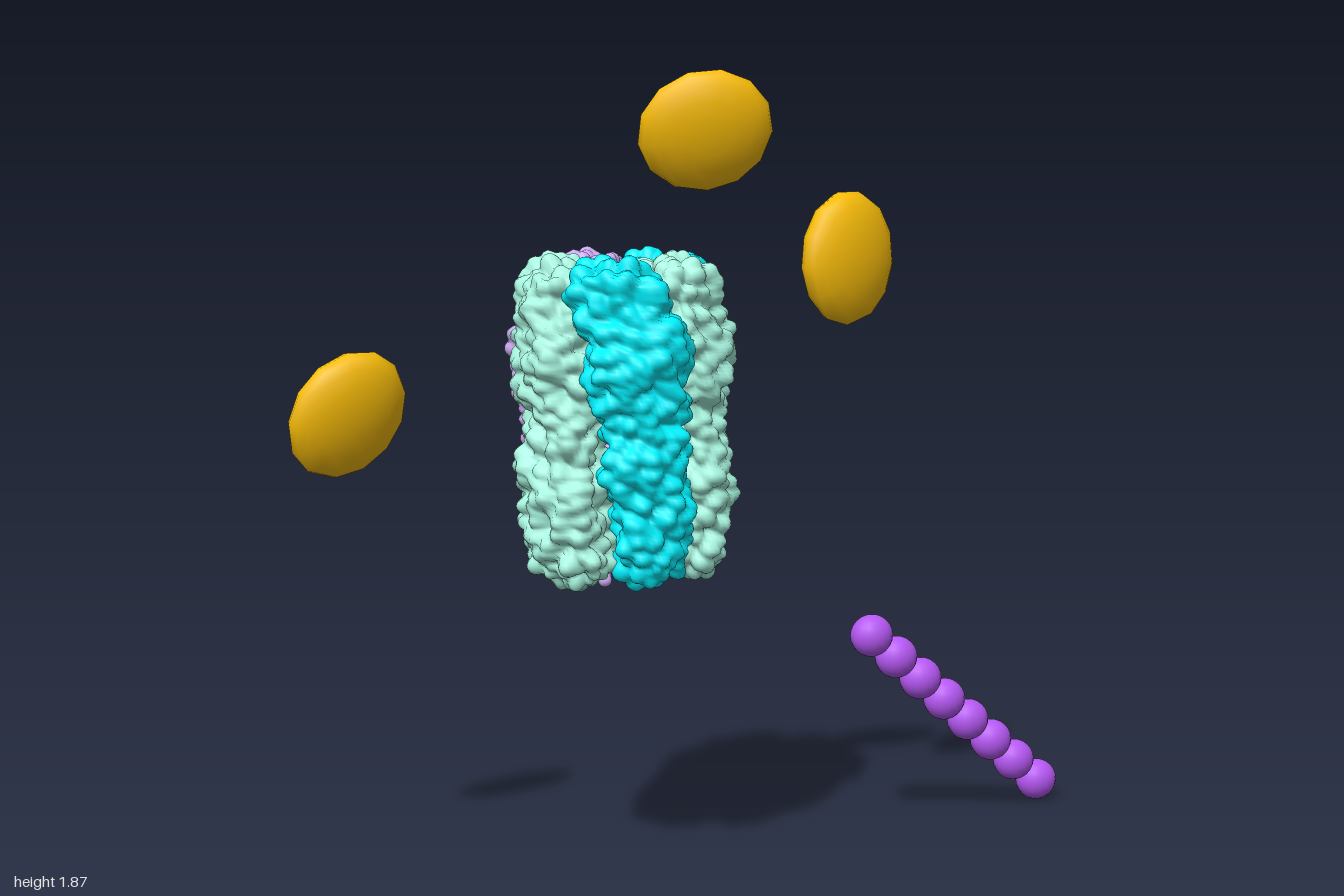
import * as THREE from 'three';
import { mergeVertices } from 'three/addons/utils/BufferGeometryUtils.js';

const CYAN = 0x00f0fc, MINT = 0xa8f6e0, LAVENDER = 0xceacf2, GOLD = 0xfabe08, PURPLE = 0xb658f4;
const material = (color) => new THREE.MeshStandardMaterial({ color });

// Repeatable pseudo-random number in 0..1 for a lattice cell
function hash(i, j, k, n) {
  const s = Math.sin(i * 127.1 + j * 311.7 + k * 74.7 + n * 53.3) * 43758.5453;
  return s - Math.floor(s);
}

// Height of the round bump covering a point: 1 on its top, 0 in the creases
function bumpHeight(p, cell) {
  const i0 = Math.floor(p.x / cell), j0 = Math.floor(p.y / cell), k0 = Math.floor(p.z / cell);
  let best = 1;
  for (let i = i0 - 1; i <= i0 + 1; i++)
    for (let j = j0 - 1; j <= j0 + 1; j++)
      for (let k = k0 - 1; k <= k0 + 1; k++) {
        const dx = (i + hash(i, j, k, 1)) - p.x / cell;
        const dy = (j + hash(i, j, k, 2)) - p.y / cell;
        const dz = (k + hash(i, j, k, 3)) - p.z / cell;
        best = Math.min(best, dx * dx + dy * dy + dz * dz);
      }
  return 1 - best;
}

// Sphere without seam, each vertex moved by the given rule
function mappedSphere(columns, rows, rule) {
  let geo = new THREE.SphereGeometry(1, columns, rows);
  geo.deleteAttribute('uv');
  geo.deleteAttribute('normal');
  geo = mergeVertices(geo);
  const pos = geo.attributes.position, p = new THREE.Vector3();
  for (let i = 0; i < pos.count; i++) {
    rule(p.fromBufferAttribute(pos, i));
    pos.setXYZ(i, p.x, p.y, p.z);
  }
  geo.computeVertexNormals();
  return geo;
}

// Lumpy skin: coarse and fine bumps pushed along the normals
function addBumps(geo) {
  const pos = geo.attributes.position, nor = geo.attributes.normal;
  const p = new THREE.Vector3(), n = new THREE.Vector3();
  for (let i = 0; i < pos.count; i++) {
    p.fromBufferAttribute(pos, i);
    n.fromBufferAttribute(nor, i);
    const d = 0.04 * (bumpHeight(p, 0.09) - 0.62) + 0.048 * (bumpHeight(p, 0.037) - 0.62);
    p.addScaledVector(n, d);
    pos.setXYZ(i, p.x, p.y, p.z);
  }
  geo.computeVertexNormals();
  return geo;
}

// Subunit sections: height -1..1, turn in degrees, middle radius, radial half depth, half angle
const SECTIONS = [
  [-1.0, 78, 0.136, 0.075, 0.50],
  [-0.6, 83, 0.148, 0.090, 0.55],
  [-0.25, 90, 0.148, 0.090, 0.55],
  [0.0, 92, 0.140, 0.084, 0.53],
  [0.4, 98, 0.152, 0.099, 0.63],
  [0.8, 110, 0.138, 0.088, 0.62],
  [1.0, 116, 0.130, 0.076, 0.56],
];
function sectionAt(h) {
  let i = 0;
  while (i < SECTIONS.length - 2 && h > SECTIONS[i + 1][0]) i++;
  const a = SECTIONS[i], b = SECTIONS[i + 1];
  const t = THREE.MathUtils.smoothstep(h, a[0], b[0]);
  return a.map((v, k) => v + (b[k] - v) * t);
}

// One twisted wedge-shaped pillar; low and high shift its lower and upper halves outward
function subunitGeometry(turn, low, high) {
  const cap = 0.12;
  return addBumps(mappedSphere(86, 124, (p) => {
    const a = Math.acos(THREE.MathUtils.clamp(p.y, -1, 1)) / Math.PI;
    const u = Math.min(1, Math.min(a, 1 - a) / cap) * Math.PI / 2;
    const size = Math.pow(Math.sin(u), 0.8);
    let h = 0.87 * (1 - 2 * (a - cap) / (1 - 2 * cap));
    if (a < cap) h = 1 - 0.13 * (1 - Math.cos(u));
    if (a > 1 - cap) h = -1 + 0.13 * (1 - Math.cos(u));
    const phi = Math.atan2(p.z, p.x), c = Math.cos(phi), s = Math.sin(phi);
    const k = size / Math.cbrt(Math.abs(c) ** 3 + Math.abs(s) ** 3);
    const [, deg, mid, depth, half] = sectionAt(h);
    const shift = THREE.MathUtils.lerp(low, high, THREE.MathUtils.smoothstep(h, -0.6, 0.2));
    const radius = mid + shift + depth * c * k;
    const angle = THREE.MathUtils.degToRad(deg + turn) + half * s * k;
    p.set(radius * Math.cos(angle), 1.08 + 0.365 * h, radius * Math.sin(angle));
  }));
}

function createComplex() {
  const group = new THREE.Group();
  group.name = 'ringComplex';
  group.position.set(-0.262, 0, 0.01);
  const parts = [
    ['frontSubunit', CYAN, -0.026, 0], ['rightSubunit', MINT, 0.008, -0.004],
    ['backRightSubunit', LAVENDER, -0.022, 0.018], ['backLeftSubunit', CYAN, -0.014, 0],
    ['leftSubunit', MINT, 0.006, -0.004],
  ];
  parts.forEach(([name, color, low, high], i) => {
    const mesh = new THREE.Mesh(subunitGeometry(i * 72, low, high), material(color));
    mesh.name = name;
    group.add(mesh);
  });
  // Strand hanging through the pore
  const strand = new THREE.Mesh(addBumps(mappedSphere(28, 60, (p) =>
    p.set(-0.045 + p.x * 0.045, 0.88 + p.y * 0.185, -0.01 + p.z * 0.045))), material(LAVENDER));
  strand.name = 'poreStrand';
  group.add(strand);
  return group;
}

// Flattened ellipsoid given by its centre, facing direction and long direction
function createDisc(name, centre, facing, long, size) {
  const mesh = new THREE.Mesh(new THREE.SphereGeometry(1, 13, 10), material(GOLD));
  const n = new THREE.Vector3(...facing).normalize();
  const l = new THREE.Vector3(...long);
  l.addScaledVector(n, -l.dot(n)).normalize();
  const w = new THREE.Vector3().crossVectors(l, n);
  mesh.quaternion.setFromRotationMatrix(new THREE.Matrix4().makeBasis(l, n, w));
  mesh.scale.set(size[0], 0.061, size[1]);
  mesh.position.set(...centre);
  mesh.name = name;
  return mesh;
}

// Straight chain of touching beads
function createChain() {
  const group = new THREE.Group();
  group.name = 'beadChain';
  const start = new THREE.Vector3(0.41, 0.5, -0.068), end = new THREE.Vector3(0.946, 0.052, -0.214);
  const geo = new THREE.SphereGeometry(0.052, 18, 12), mat = material(PURPLE);
  geo.scale(1.03, 1, 0.88);
  for (let i = 0; i < 8; i++) {
    const bead = new THREE.Mesh(geo, mat);
    bead.name = 'bead' + (i + 1);
    bead.position.lerpVectors(start, end, i / 7);
    group.add(bead);
  }
  return group;
}

export function createModel() {
  const model = new THREE.Group();
  model.name = 'model';
  model.add(
    createComplex(),
    createDisc('rightDisc', [-0.863, 1.094, -0.157], [0.2, -0.25, 1], [0.55, 0.84, 0], [0.158, 0.136]),
    createDisc('topDisc', [-0.104, 1.735, 0.14], [-0.17, -0.3, 1], [1, 0.26, 0], [0.156, 0.142]),
    createDisc('leftDisc', [0.283, 1.434, 0.058], [0.38, 0, 1], [0, 1, 0], [0.158, 0.139]),
    createChain(),
  );
  return model;
}
